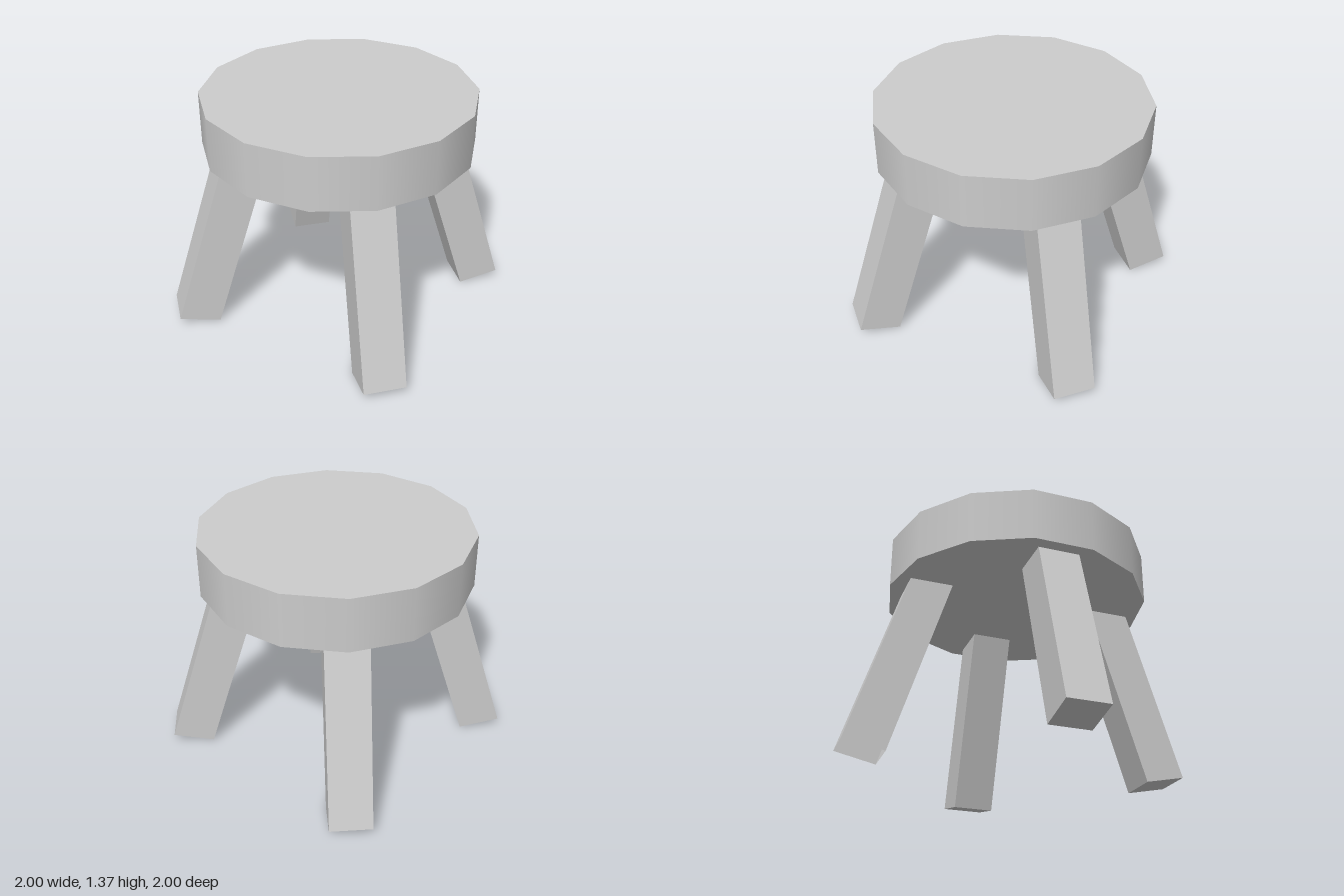
import * as THREE from 'three';

const SEAT_BOTTOM = 1.055, SEAT_TOP = 1.365, SEAT_RADIUS = 0.777;

// Slanted square leg on the +x side; its upper end is buried in the seat.
function legGeometry(openEnd) {
  const g = new THREE.BoxGeometry(1, 1, 0.24);
  const p = g.attributes.position;
  for (let i = 0; i < p.count; i++) {
    const out = p.getX(i) + 0.5; // 0 inner side, 1 outer side
    const up = p.getY(i) + 0.5; // 0 foot, 1 top
    p.setXY(i, 0.765 + 0.235 * out - 0.365 * up, 0.05 * out + 1.16 * up);
  }
  if (openEnd) {
    // Leave out the foot face, which is the fourth face of the box.
    const index = Array.from(g.index.array);
    index.splice(18, 6);
    g.setIndex(index);
  }
  g.computeVertexNormals();
  return g;
}

export function createModel() {
  const model = new THREE.Group();
  model.name = 'stool';
  const material = new THREE.MeshStandardMaterial({ color: 0xcccccc });
  const openMaterial = new THREE.MeshStandardMaterial({ color: 0xcccccc, side: THREE.DoubleSide });

  // Fourteen-sided seat with a smooth rim
  const height = SEAT_TOP - SEAT_BOTTOM;
  const seat = new THREE.Mesh(new THREE.CylinderGeometry(SEAT_RADIUS, SEAT_RADIUS, height, 14), material);
  seat.name = 'seat';
  seat.position.y = SEAT_BOTTOM + height / 2;
  model.add(seat);

  // Four splayed legs; the back one is hollow at the foot
  ['leftLeg', 'backLeg', 'rightLeg', 'frontLeg'].forEach((name, i) => {
    const open = name === 'backLeg';
    const leg = new THREE.Mesh(legGeometry(open), open ? openMaterial : material);
    leg.name = name;
    leg.rotation.y = i * Math.PI / 2;
    model.add(leg);
  });

  return model;
}
